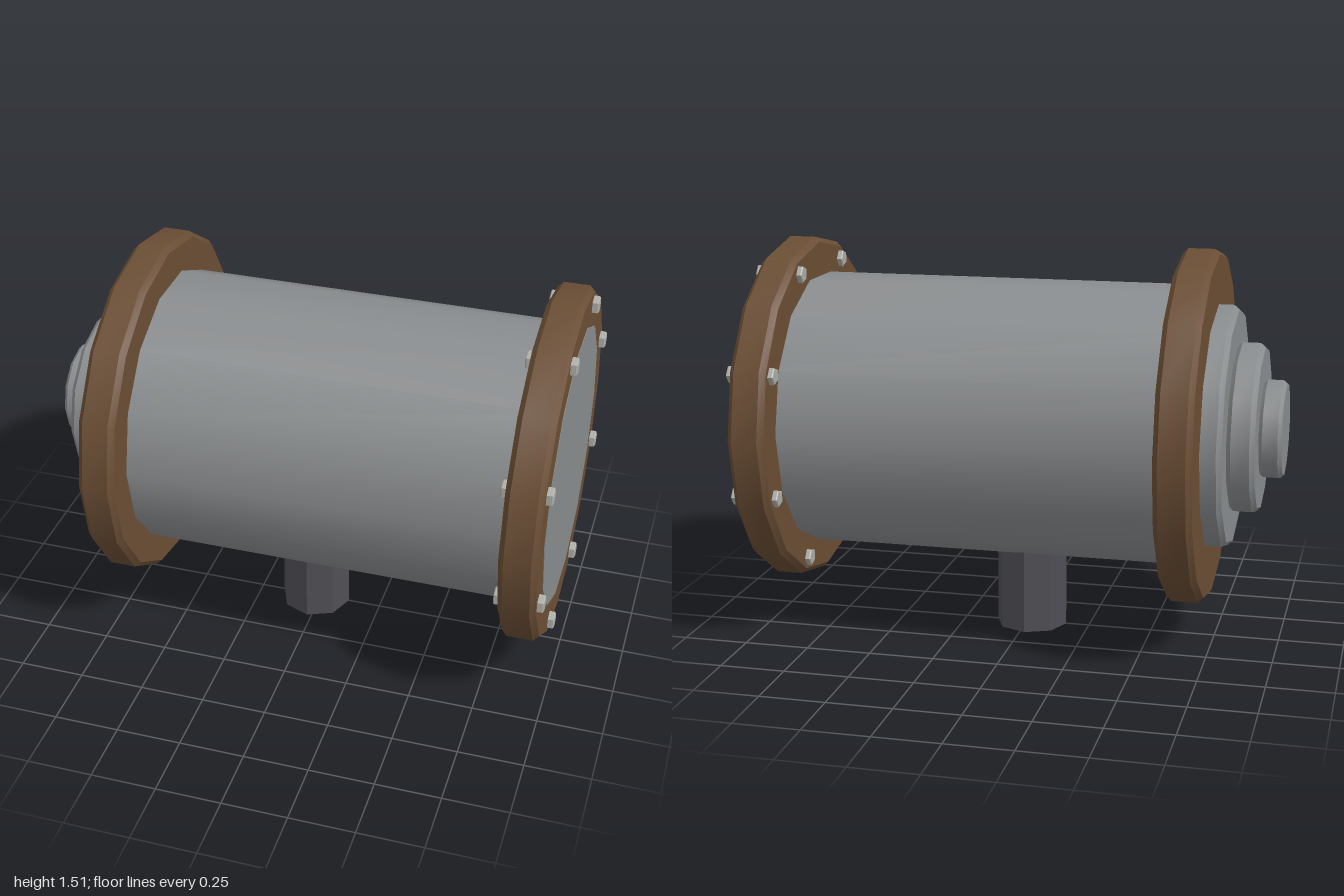
import * as THREE from 'three';
import { toCreasedNormals } from 'three/addons/utils/BufferGeometryUtils.js';

const AXIS_Y = 0.84;

function material(name, color) {
  const m = new THREE.MeshStandardMaterial({ color });
  m.name = name;
  return m;
}

// Chamfered disc lying along x, from x0 to x1
function disc(radius, x0, x1, sides, chamfer = 0, turn = 0) {
  const profile = chamfer
    ? [[0, x0], [radius - chamfer, x0], [radius, x0 + chamfer], [radius, x1 - chamfer], [radius - chamfer, x1], [0, x1]]
    : [[0, x0], [radius, x0], [radius, x1], [0, x1]];
  const points = profile.map(([r, x]) => new THREE.Vector2(r, x));
  const geometry = new THREE.LatheGeometry(points, sides, turn);
  geometry.rotateZ(-Math.PI / 2);
  return toCreasedNormals(geometry, 0.6);
}

export function createModel() {
  const model = new THREE.Group();
  model.name = 'flangedTank';
  const steel = material('greySteel', 0x8a8d8f);
  const rust = material('brownFlange', 0x6b4e35);
  const bright = material('boltMetal', 0xadada8);
  const dark = material('darkIron', 0x4f4e54);

  const add = (name, geometry, mat, y = AXIS_Y, z = 0) => {
    const mesh = new THREE.Mesh(geometry, mat);
    mesh.name = name;
    mesh.position.set(0, y, z);
    model.add(mesh);
  };

  // Barrel, showing as a plain disc at the bolted end
  add('barrel', disc(0.535, -0.7, 0.978, 14), steel);

  // End flanges
  add('rightFlange', disc(0.675, -0.735, -0.596, 16, 0.02), rust);
  add('leftFlange', disc(0.675, 0.837, 0.976, 16, 0.02), rust);

  // Stepped end cap
  add('capLarge', disc(0.468, -0.812, -0.7, 12, 0.018), steel);
  add('capMiddle', disc(0.328, -0.915, -0.81, 12, 0.018), steel);
  add('capSmall', disc(0.19, -1, -0.914, 12, 0.014), steel);

  // Ring of bolts through the left flange
  const bolt = disc(0.034, 0.817, 1, 5, 0.004, Math.PI);
  for (let i = 0; i < 8; i++) {
    const a = (i + 0.5) * Math.PI / 4;
    add('bolt' + (i + 1), bolt, bright, AXIS_Y + 0.607 * Math.sin(a), 0.607 * Math.cos(a));
  }

  // Octagonal outlet pipe below the barrel
  const pipe = new THREE.CylinderGeometry(0.139, 0.139, 0.4, 8);
  pipe.translate(-0.019, 0, 0);
  add('outletPipe', toCreasedNormals(pipe, 0.6), dark, 0.2);

  return model;
}
